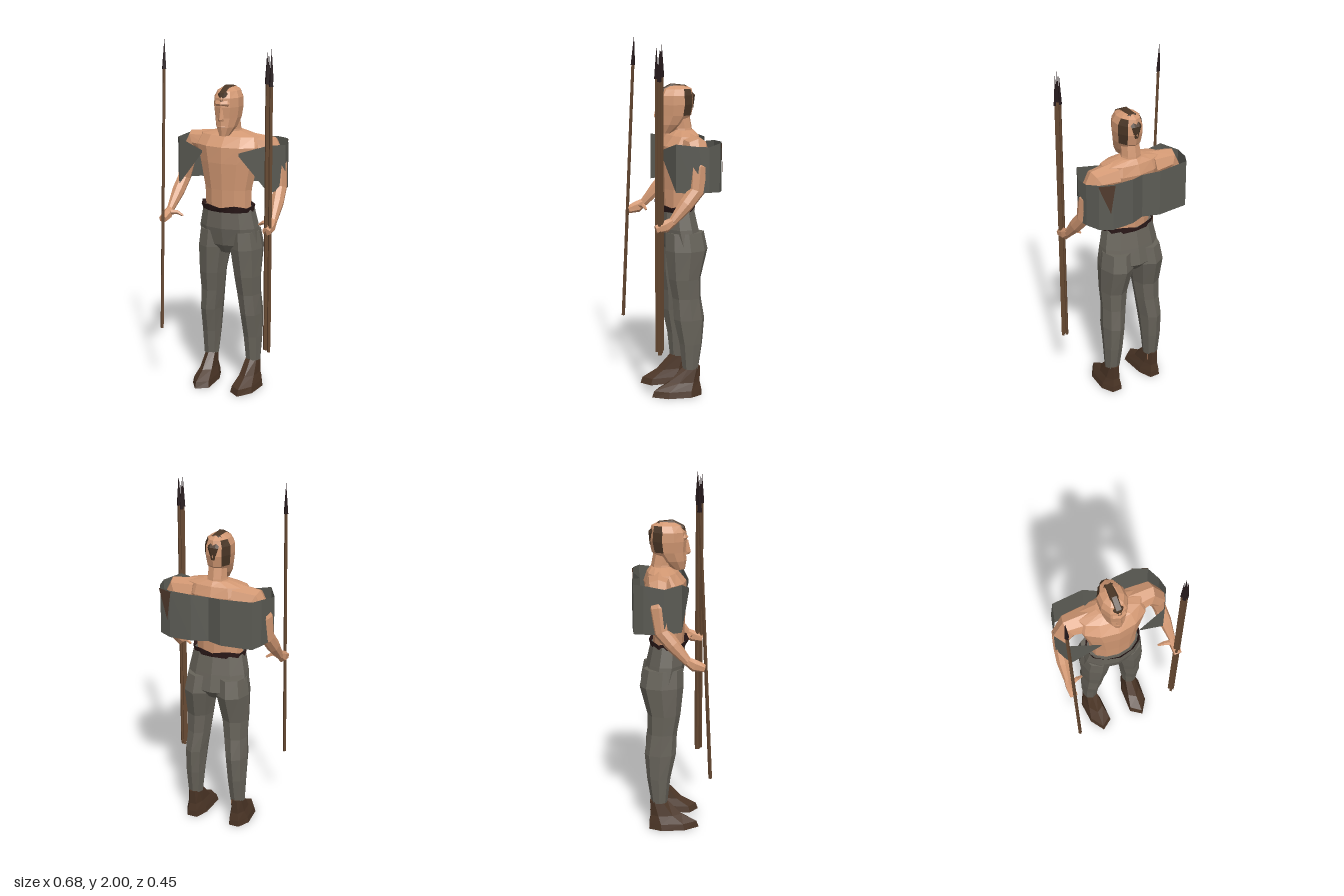
import * as THREE from 'three';

const mat = (name, color, side = THREE.FrontSide) => {
  const m = new THREE.MeshStandardMaterial({ color, side });
  m.name = name;
  return m;
};

// Flat-shaded skin over a list of rings (each a list of Vector3).
// paint(row, column) picks the material index of a quad.
function loft(rings, { caps = true, paint = () => 0 } = {}) {
  const lists = [[], []];
  const n = rings[0].length;
  const tri = (k, ...p) => p.forEach(v => lists[k].push(v.x, v.y, v.z));
  for (let r = 0; r < rings.length - 1; r++) {
    for (let i = 0; i < n; i++) {
      const j = (i + 1) % n, k = paint(r, i);
      const [a, b, c, d] = [rings[r][i], rings[r][j], rings[r + 1][j], rings[r + 1][i]];
      tri(k, a, b, c);
      tri(k, a, c, d);
    }
  }
  if (caps) {
    const first = rings[0], last = rings[rings.length - 1];
    for (let i = 1; i < n - 1; i++) {
      tri(0, first[0], first[i + 1], first[i]);
      tri(0, last[0], last[i], last[i + 1]);
    }
  }
  const g = new THREE.BufferGeometry();
  g.setAttribute('position', new THREE.Float32BufferAttribute(lists.flat(), 3));
  const split = lists[0].length / 3;
  g.addGroup(0, split, 0);
  g.addGroup(split, lists[1].length / 3, 1);
  g.computeVertexNormals();
  return g;
}

// Horizontal elliptical rings, listed upward: [x, y, z, radiusX, radiusZ]
const ovals = (list, n) => list.map(([x, y, z, rx, rz]) =>
  Array.from({ length: n }, (_, i) => {
    const a = i / n * Math.PI * 2;
    return new THREE.Vector3(x + rx * Math.sin(a), y, z + rz * Math.cos(a));
  }));

// Rings across a path: [x, y, z, radiusU, radiusV]
function pathRings(list, n, ref) {
  const pts = list.map(p => new THREE.Vector3(p[0], p[1], p[2]));
  return pts.map((p, k) => {
    const t = pts[Math.min(k + 1, pts.length - 1)].clone().sub(pts[Math.max(k - 1, 0)]).normalize();
    const u = t.clone().cross(ref).normalize(), v = u.clone().cross(t);
    return Array.from({ length: n }, (_, i) => {
      const a = i / n * Math.PI * 2;
      return p.clone().addScaledVector(u, list[k][3] * Math.sin(a)).addScaledVector(v, list[k][4] * Math.cos(a));
    });
  });
}

export function createModel() {
  const root = new THREE.Group();
  root.name = 'spearman';
  const skin = mat('skin', 0xd29873);
  const cloth = mat('trouser cloth', 0x67635a);
  const fur = mat('cloak grey', 0x5c5c55, THREE.DoubleSide);
  const hide = mat('hide brown', 0x503a2c, THREE.DoubleSide);
  const leather = mat('boot leather', 0x4b3526);
  const belt = mat('belt', 0x2f1c1c, THREE.DoubleSide);
  const hair = mat('hair', 0x4a3626);
  const wood = mat('shaft wood', 0x664932);
  const point = mat('spear point', 0x261a1c);
  const Z = new THREE.Vector3(0, 0, 1), X = new THREE.Vector3(1, 0, 0);

  const add = (name, geo, material, parent = root) => {
    const m = new THREE.Mesh(geo, material);
    m.name = name;
    parent.add(m);
    return m;
  };

  // Torso and neck
  add('torso', loft(ovals([
    [0, 1.03, -0.02, 0.135, 0.085], [0, 1.17, -0.02, 0.14, 0.09], [0, 1.32, -0.03, 0.172, 0.11],
    [0, 1.41, -0.04, 0.2, 0.118], [0, 1.465, -0.055, 0.18, 0.085], [0, 1.49, -0.065, 0.075, 0.055]], 12)), skin);
  add('neck', loft(ovals([[0, 1.42, -0.06, 0.075, 0.065], [0, 1.5, -0.06, 0.056, 0.055], [0, 1.58, -0.045, 0.052, 0.055]], 8)), skin);

  // Head with hair on the rear side faces
  add('head', loft(ovals([
    [0, 1.472, 0.035, 0.028, 0.035], [0, 1.52, 0.005, 0.056, 0.073], [0, 1.57, -0.018, 0.07, 0.094],
    [0, 1.63, -0.022, 0.078, 0.104], [0, 1.68, -0.022, 0.077, 0.1], [0, 1.715, -0.028, 0.06, 0.085],
    [0, 1.733, -0.03, 0.03, 0.05]], 10),
  { paint: (r, c) => (r > 1 && r < 5 && (c === 3 || c === 6) ? 1 : 0) }), [skin, hair]);
  add('hairCrest', loft(pathRings([
    [0, 1.655, 0.075, 0.006, 0.008], [0, 1.7, 0.058, 0.016, 0.028], [0, 1.73, 0, 0.016, 0.026],
    [0, 1.722, -0.07, 0.016, 0.034], [0, 1.675, -0.118, 0.014, 0.03], [0, 1.61, -0.118, 0.005, 0.01]], 6, X)), hair);
  add('nose', loft(ovals([[0, 1.555, 0.075, 0.018, 0.018], [0, 1.567, 0.08, 0.017, 0.022], [0, 1.635, 0.075, 0.007, 0.012]], 4)), skin);
  add('brow', loft(ovals([[0, 1.635, 0.045, 0.05, 0.03], [0, 1.65, 0.045, 0.054, 0.043], [0, 1.67, 0.04, 0.045, 0.035]], 8)), skin);
  add('lips', loft(ovals([[0, 1.508, 0.055, 0.02, 0.015], [0, 1.522, 0.06, 0.026, 0.02], [0, 1.536, 0.058, 0.018, 0.018]], 6)), skin);

  // Trousers seat
  add('trouserSeat', loft(ovals([
    [0, 0.8, -0.05, 0.1, 0.07], [0, 0.85, -0.055, 0.185, 0.11], [0, 0.95, -0.035, 0.175, 0.11],
    [0, 1.06, -0.025, 0.152, 0.095]], 10)), cloth);

  // Belt, a flared open ring with an uneven rim
  const beltRings = ovals([[0, 1.045, -0.022, 0.15, 0.1], [0, 1.08, -0.018, 0.161, 0.113]], 12);
  beltRings[1].forEach((v, i) => { v.y += i % 2 ? 0.008 : -0.006; });
  add('belt', loft(beltRings, { caps: false }), belt);

  for (const s of [-1, 1]) {
    const side = s > 0 ? 'left' : 'right';

    // Leg and ankle
    add(side + 'TrouserLeg', loft(ovals([
      [s * 0.133, 0.155, -0.072, 0.044, 0.046], [s * 0.13, 0.3, -0.075, 0.055, 0.066], [s * 0.125, 0.44, -0.066, 0.062, 0.088],
      [s * 0.113, 0.56, -0.055, 0.068, 0.082], [s * 0.108, 0.67, -0.045, 0.077, 0.092], [s * 0.098, 0.83, -0.058, 0.093, 0.122],
      [s * 0.09, 0.93, -0.05, 0.085, 0.11]], 8)), cloth);
    add(side + 'Ankle', new THREE.CylinderGeometry(0.038, 0.034, 0.1, 6).toNonIndexed().translate(s * 0.133, 0.14, -0.078), skin).geometry.computeVertexNormals();

    // Boot: sole outline shrinking up to the ankle
    const sole = [[0, 0.152], [0.055, 0.07], [0.065, -0.06], [0.03, -0.13], [-0.03, -0.13], [-0.06, -0.05], [-0.065, 0.105]];
    const boot = [[0, 1, 1, 0], [0.035, 0.9, 0.95, -0.005], [0.08, 0.68, 0.62, -0.04], [0.165, 0.52, 0.34, -0.08]].map(([y, sx, sz, dz]) => {
      const ring = sole.map(([x, z]) => new THREE.Vector3(s * (0.133 + x * sx), y, z * sz + dz));
      return s > 0 ? ring : ring.reverse();
    });
    add(side + 'Boot', loft(boot), leather);

    // Arm, hand and thumb
    add(side + 'Arm', loft(pathRings([
      [s * 0.12, 1.4, -0.07, 0.08, 0.08], [s * 0.225, 1.405, -0.075, 0.068, 0.065], [s * 0.28, 1.31, -0.07, 0.05, 0.055],
      [s * 0.296, 1.19, -0.055, 0.036, 0.045], [s * 0.305, 1.12, 0.005, 0.036, 0.04], [s * 0.315, 1.03, 0.085, 0.02, 0.024]], 8, Z)), skin);
    add(side + 'Hand', loft(pathRings([
      [s * 0.315, 1.035, 0.08, 0.02, 0.024], [s * 0.315, 1.01, 0.12, 0.026, 0.034], [s * 0.314, 0.995, 0.175, 0.024, 0.022]], 6, Z)), skin);
    add(side + 'Thumb', loft(pathRings([
      [s * 0.315, 1.02, 0.11, 0.018, 0.018], [s * 0.265, 1.025, 0.097, 0.012, 0.012], [s * 0.232, 1.005, 0.088, 0.006, 0.006]], 5, Z)), skin);
  }

  // Cloak band around the back and arms: [x, z, top, bottom]
  const band = [
    [-0.11, 0.092, 1.39, 1.375], [-0.27, 0.052, 1.44, 1.18], [-0.325, -0.04, 1.425, 1.18], [-0.295, -0.15, 1.44, 1.175],
    [-0.265, -0.205, 1.44, 1.17], [-0.087, -0.218, 1.435, 1.17], [0, -0.178, 1.42, 1.165], [0.085, -0.218, 1.435, 1.17],
    [0.21, -0.222, 1.44, 1.17], [0.28, -0.19, 1.44, 1.175], [0.315, -0.12, 1.425, 1.18], [0.325, -0.055, 1.43, 1.18],
    [0.27, 0.052, 1.44, 1.18], [0.11, 0.092, 1.39, 1.375]];
  const strip = [];
  for (let i = 0; i < band.length - 1; i++) {
    const [x0, z0, t0, b0] = band[i], [x1, z1, t1, b1] = band[i + 1];
    strip.push(x0, b0, z0, x0, t0, z0, x1, t1, z1, x0, b0, z0, x1, t1, z1, x1, b1, z1);
  }
  const surface = (pos) => {
    const g = new THREE.BufferGeometry();
    g.setAttribute('position', new THREE.Float32BufferAttribute(pos, 3));
    g.computeVertexNormals();
    return g;
  };
  add('cloak', surface(strip), fur);
  add('cloakPatch', surface([0.2, 1.435, -0.228, 0.286, 1.435, -0.194, 0.225, 1.27, -0.222]), hide);

  // Spears: square shaft with a dark point
  const spear = (name, x, y0, z0, y1, z1) => {
    const g = new THREE.Group();
    g.name = name;
    const a = new THREE.Vector3(x, y0, z0), dir = new THREE.Vector3(x, y1, z1).sub(a), len = dir.length();
    const shaft = new THREE.CylinderGeometry(0.009, 0.01, len - 0.16, 4).translate(0, (len - 0.16) / 2, 0).toNonIndexed();
    const tip = new THREE.ConeGeometry(0.013, 0.17, 4).translate(0, len - 0.085, 0).toNonIndexed();
    [shaft, tip].forEach(k => k.computeVertexNormals());
    add('shaft', shaft, wood, g);
    add('point', tip, point, g);
    g.position.copy(a);
    g.quaternion.setFromUnitVectors(new THREE.Vector3(0, 1, 0), dir.normalize());
    root.add(g);
  };
  spear('heldSpear', -0.31, 0.365, 0.21, 2, 0.135);
  [[0.308, 0.146, 0], [0.308, 0.168, 0.01], [0.326, 0.157, -0.005], [0.322, 0.143, 0.02]].forEach(([x, z, dy], i) =>
    spear('spareSpear' + (i + 1), x, 0.31 + dy, z, 1.95 + dy, z));

  return root;
}
